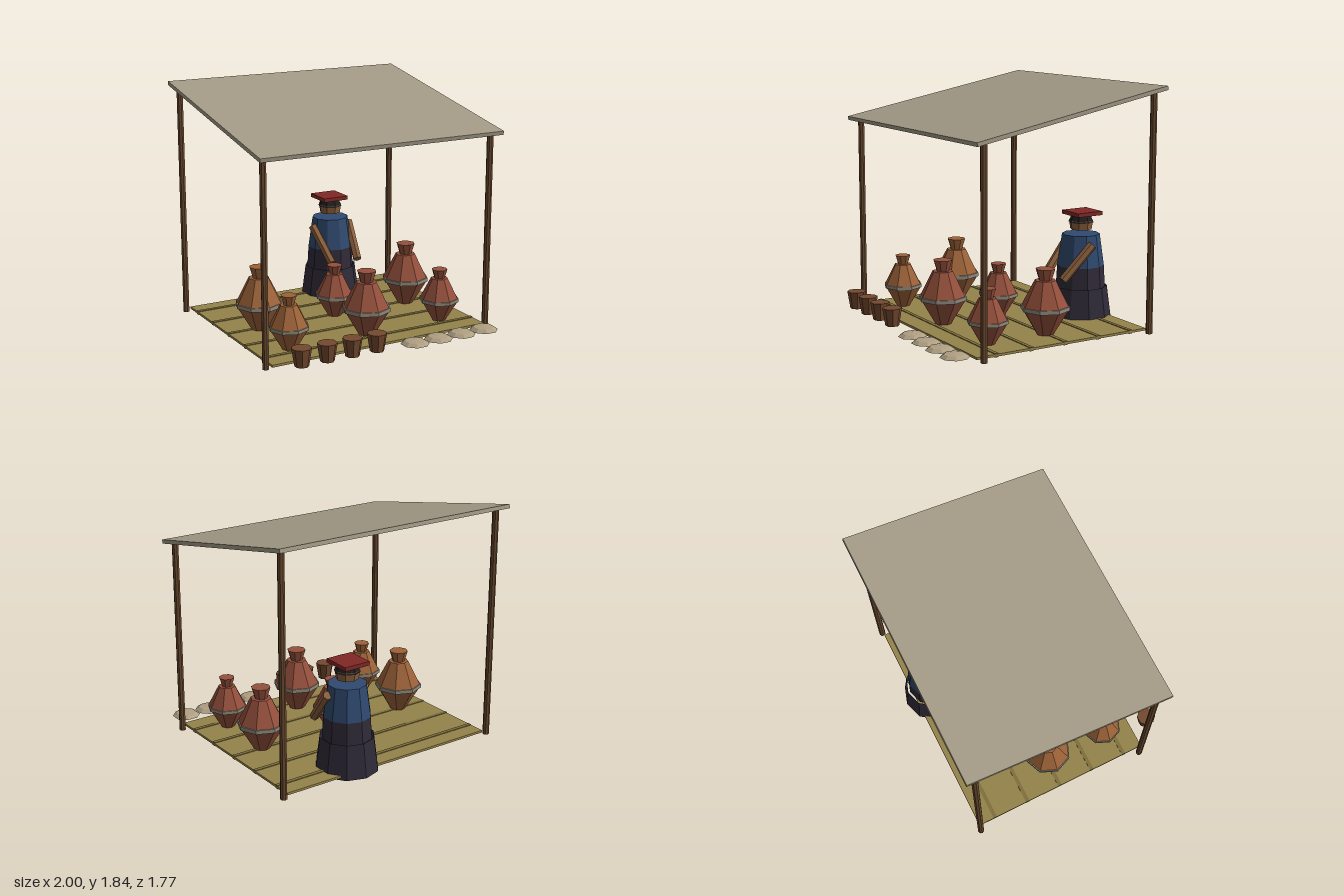
import * as THREE from 'three';

const mat = (color, side = THREE.FrontSide) => {
  const m = new THREE.MeshStandardMaterial({ color, flatShading: true, side });
  return m;
};
const M = {
  cloth: mat(0xa39a86), wood: mat(0x6b4a30), straw: mat(0x94834a), cord: mat(0x7f6f3c),
  orange: mat(0x9c6238), red: mat(0x94503c), band: mat(0x8e8a7c), cup: mat(0x754a30),
  grain: mat(0xb0a083, THREE.DoubleSide), skirt: mat(0x302b38, THREE.DoubleSide),
  shirt: mat(0x304a70), skin: mat(0x8a5f3c), hair: mat(0x211f20), hat: mat(0x802825),
};

function add(parent, name, geo, material, x = 0, y = 0, z = 0) {
  const m = new THREE.Mesh(geo, material);
  m.name = name;
  m.position.set(x, y, z);
  parent.add(m);
  return m;
}

// Upright faceted frustum between heights y0 and y1
function frustum(parent, name, material, r0, r1, y0, y1, sides = 8, open = false) {
  const geo = new THREE.CylinderGeometry(r1, r0, y1 - y0, sides, 1, open);
  return add(parent, name, geo, material, 0, (y0 + y1) / 2, 0);
}

function group(parent, name, x, y, z) {
  const g = new THREE.Group();
  g.name = name;
  g.position.set(x, y, z);
  parent.add(g);
  return g;
}

// Straight limb between two points
function limb(parent, name, material, a, b, r) {
  const d = b.clone().sub(a);
  const m = add(parent, name, new THREE.CylinderGeometry(r, r, d.length(), 6), material);
  m.position.copy(a).add(b).multiplyScalar(0.5);
  m.quaternion.setFromUnitVectors(new THREE.Vector3(0, 1, 0), d.normalize());
}

function jar(parent, x, z, scale, clay) {
  const g = group(parent, 'jar', x, 0.03, z);
  g.scale.setScalar(scale);
  frustum(g, 'jarBase', clay, 0.06, 0.18, 0, 0.2);
  frustum(g, 'jarBand', M.band, 0.184, 0.184, 0.19, 0.22);
  frustum(g, 'jarShoulder', clay, 0.18, 0.078, 0.21, 0.41);
  frustum(g, 'jarNeck', clay, 0.046, 0.073, 0.405, 0.495);
}

function vendor(parent) {
  const g = group(parent, 'vendor', 0.28, 0, -0.645);
  frustum(g, 'lowerSkirt', M.skirt, 0.24, 0.205, 0, 0.26, 10, true);
  frustum(g, 'upperSkirt', M.skirt, 0.19, 0.18, 0.25, 0.42, 10);
  frustum(g, 'torso', M.shirt, 0.18, 0.145, 0.42, 0.665, 10);
  frustum(g, 'head', M.skin, 0.083, 0.094, 0.7, 0.77);
  frustum(g, 'hair', M.hair, 0.097, 0.072, 0.755, 0.815);
  add(g, 'hat', new THREE.BoxGeometry(0.215, 0.03, 0.225), M.hat, 0, 0.827, -0.01);
  for (const s of [-1, 1]) {
    limb(g, s > 0 ? 'leftArm' : 'rightArm', M.skin,
      new THREE.Vector3(s * 0.165, 0.602, 0.01), new THREE.Vector3(s * 0.118, 0.343, 0.245), 0.035);
  }
}

export function createModel() {
  const root = new THREE.Group();
  root.name = 'marketStall';

  // Sloping roof sheet
  const roof = add(root, 'roof', new THREE.BoxGeometry(2, 0.03, 1.625), M.cloth, 0, 1.67, -0.088);
  roof.rotation.x = 0.191;

  // Corner posts, taller at the back
  for (const x of [-0.94, 0.94]) {
    for (const [z, h] of [[0.625, 1.515], [-0.805, 1.8]]) {
      const post = frustum(root, 'post', M.wood, 0.025, 0.025, 0, h, 8);
      post.position.x = x;
      post.position.z = z;
    }
  }

  // Floor mat with cross ribs
  add(root, 'mat', new THREE.BoxGeometry(1.81, 0.018, 1.46), M.straw, 0, 0.025, -0.07);
  for (let i = 0; i < 5; i++) {
    add(root, 'matRib', new THREE.BoxGeometry(1.81, 0.028, 0.03), M.cord, 0, 0.025, 0.5 - i * 0.29);
  }

  // Jars in two rows, big and small alternating
  [-0.65, 0, 0.65].forEach((x, col) => {
    [0.42, -0.07].forEach((z, row) => {
      const big = (col + row) % 2 === 1;
      jar(root, x, z, big ? 1 : 0.83, col === 0 ? M.orange : M.red);
    });
  });

  // Cups and grain heaps along the front
  const heap = new THREE.LatheGeometry([
    [0, 0], [0.108, 0], [0.076, 0.023], [0, 0.032],
  ].map(([r, y]) => new THREE.Vector2(r, y)), 8);
  for (let i = 0; i < 4; i++) {
    const cup = frustum(root, 'cup', M.cup, 0.052, 0.074, 0.04, 0.176);
    cup.position.x = -0.738 + i * 0.204;
    cup.position.z = 0.785;
    cup.rotation.y = Math.PI / 8;
    const pile = add(root, 'grainHeap', heap, M.grain, 0.2 + i * 0.205, 0.036, 0.785);
    pile.rotation.y = Math.PI / 8;
  }

  vendor(root);
  return root;
}
